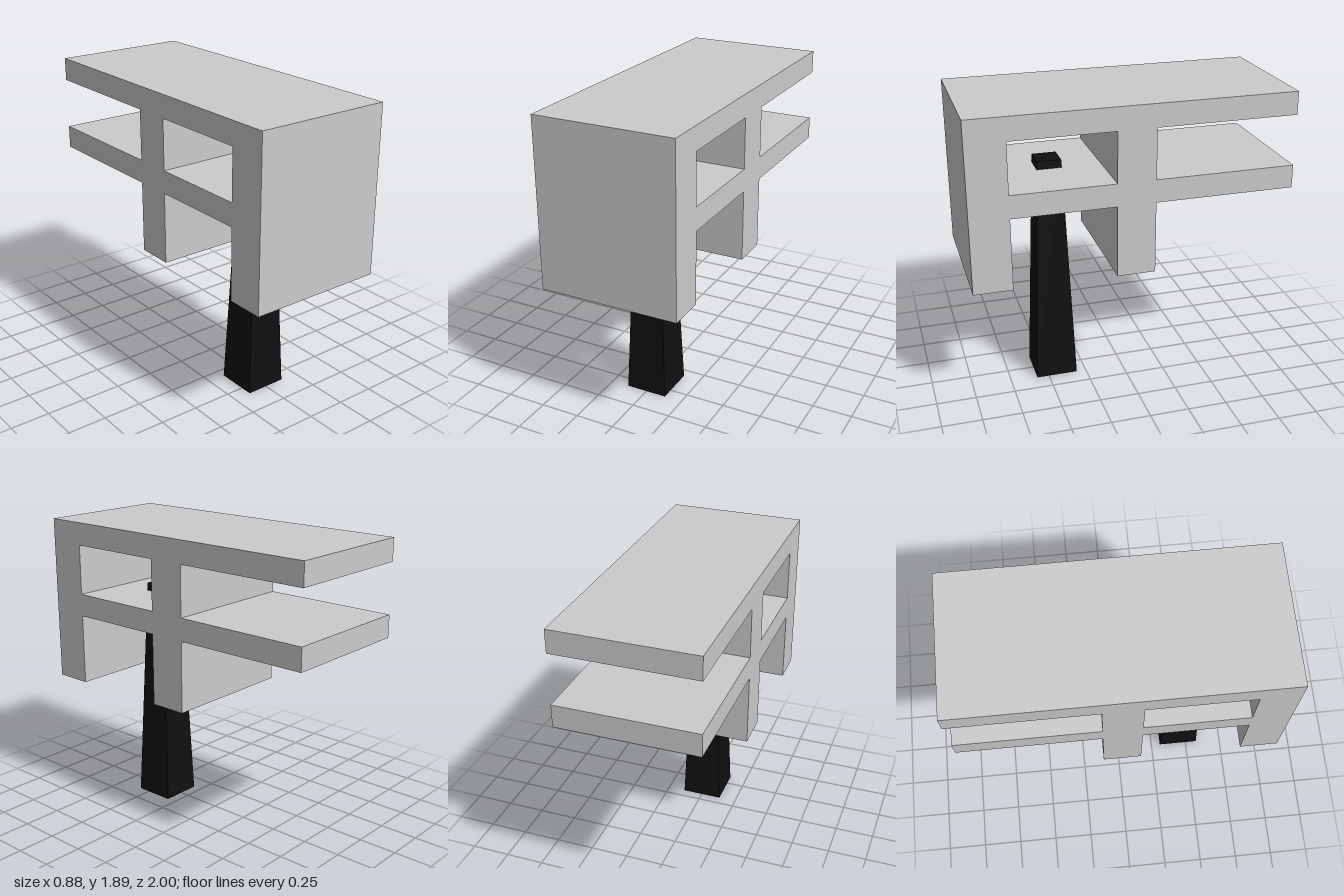
import * as THREE from 'three';

export function createModel() {
  const model = new THREE.Group();
  const grey = new THREE.MeshStandardMaterial({ color: 0xcccccc, flatShading: true });
  const black = new THREE.MeshStandardMaterial({ color: 0x101010, flatShading: true });
  const points = (list) => list.map(([z, y]) => new THREE.Vector2(z, y));

  // Head: side profile (z, y) with two uprights and two long slabs
  const width = 0.88;
  const profile = new THREE.Shape(points([
    [1, 0.83], [1, 1.895], [-1, 1.895], [-1, 1.75], [-0.12, 1.75], [-0.12, 1.43],
    [-1, 1.43], [-1, 1.285], [-0.12, 1.285], [-0.12, 0.83], [0.12, 0.83], [0.12, 1.285],
    [0.76, 1.285], [0.76, 0.83],
  ]));
  // Window between the uprights
  profile.holes.push(new THREE.Path(points([[0.12, 1.43], [0.76, 1.43], [0.76, 1.75], [0.12, 1.75]])));
  const headGeometry = new THREE.ExtrudeGeometry(profile, { depth: width, bevelEnabled: false });
  headGeometry.translate(0, 0, -width / 2).rotateY(-Math.PI / 2);
  const head = new THREE.Mesh(headGeometry, grey);
  head.name = 'head';
  model.add(head);

  // Handle: tapered square post passing through the lower slab
  const height = 1.48;
  const handleGeometry = new THREE.CylinderGeometry(0.076 * Math.SQRT2, 0.133 * Math.SQRT2, height, 4);
  handleGeometry.rotateY(Math.PI / 4);
  const handle = new THREE.Mesh(handleGeometry, black);
  handle.name = 'handle';
  handle.position.set(0, height / 2, 0.445);
  model.add(handle);

  return model;
}
